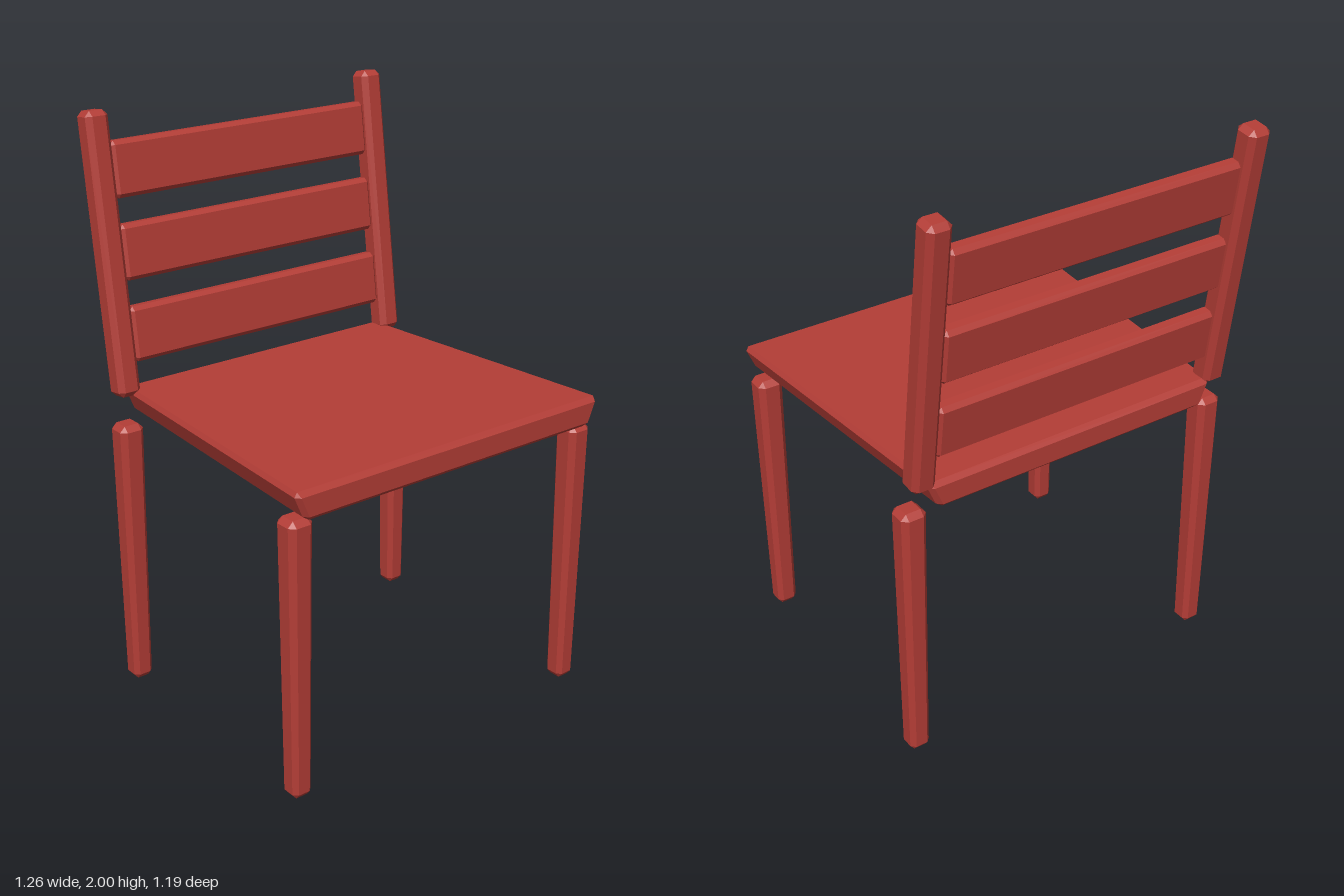
import * as THREE from 'three';
import { ConvexGeometry } from 'three/addons/geometries/ConvexGeometry.js';

const red = new THREE.MeshStandardMaterial({ color: 0xb33d36 });
red.name = 'red paint';

// Box with chamfered edges, given half sizes; warp moves each corner point by a rule
function bevelBox(hx, hy, hz, b, warp = () => {}) {
  const points = [];
  for (const sx of [-1, 1]) for (const sy of [-1, 1]) for (const sz of [-1, 1]) {
    const corner = [
      [hx, hy - b, hz - b],
      [hx - b, hy, hz - b],
      [hx - b, hy - b, hz],
    ];
    for (const [x, y, z] of corner) {
      const p = new THREE.Vector3(sx * x, sy * y, sz * z);
      warp(p);
      points.push(p);
    }
  }
  return new ConvexGeometry(points);
}

function part(parent, name, geometry, x, y, z) {
  const mesh = new THREE.Mesh(geometry, red);
  mesh.name = name;
  mesh.position.set(x, y, z);
  parent.add(mesh);
  return mesh;
}

export function createModel() {
  const chair = new THREE.Group();
  chair.name = 'chair';

  // Seat: narrower towards the back and towards its underside
  const seatShape = bevelBox(0.635, 0.05, 0.535, 0.016, (p) => {
    const back = (0.535 - p.z) / 1.07;
    const low = (0.05 - p.y) / 0.1;
    p.x -= Math.sign(p.x) * (0.078 * back + 0.042 * low);
  });
  part(chair, 'seat', seatShape, 0, 1.025, 0.065);

  // Four legs tapering to the floor
  const legShape = bevelBox(0.045, 0.485, 0.045, 0.019, (p) => {
    const s = 1 - 0.2 * (0.485 - p.y) / 0.97;
    p.x *= s;
    p.z *= s;
  });
  for (const [side, x] of [['left', 0.587], ['right', -0.587]]) {
    part(chair, side + 'FrontLeg', legShape, x, 0.485, 0.53);
    part(chair, side + 'BackLeg', legShape, x, 0.485, -0.4);
  }

  // Backrest: two posts and three slats, leaning back together
  const backrest = new THREE.Group();
  backrest.name = 'backrest';
  backrest.position.set(0, 1.527, -0.491);
  backrest.rotation.x = -0.13;
  chair.add(backrest);

  const postShape = bevelBox(0.042, 0.475, 0.042, 0.018);
  part(backrest, 'leftPost', postShape, 0.568, 0, 0);
  part(backrest, 'rightPost', postShape, -0.568, 0, 0);

  const slatShape = bevelBox(0.527, 0.094, 0.028, 0.014);
  [-0.274, 0.002, 0.276].forEach((y, i) => {
    part(backrest, 'slat' + (i + 1), slatShape, 0, y, 0);
  });

  return chair;
}
